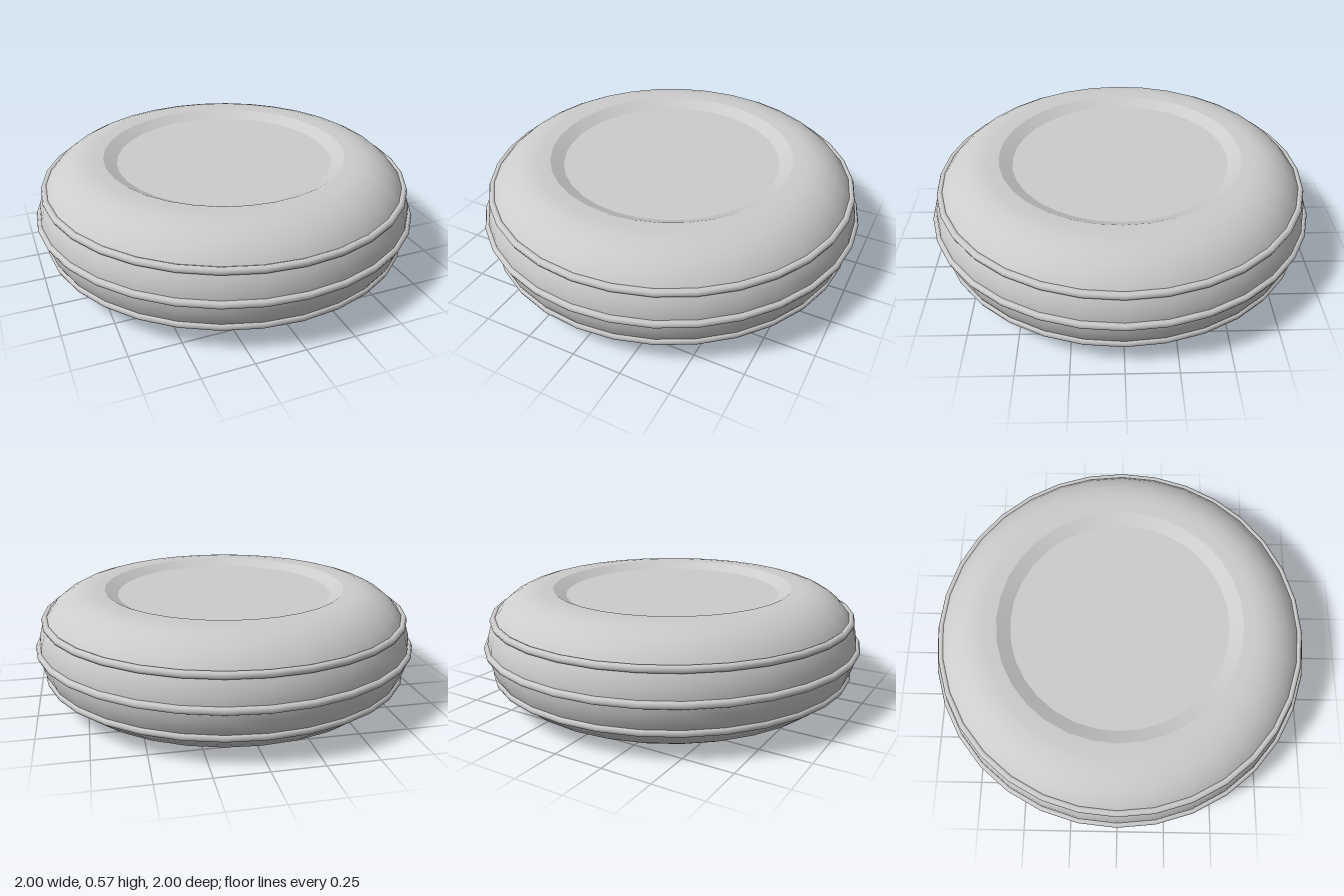
import * as THREE from 'three';

const SIDES = 32;
const MID = 0.283; // half height of the tyre, also its tube radius
const CENTRE = 0.698; // radius of the tube's centre line

export function createModel() {
  const group = new THREE.Group();
  const grey = new THREE.MeshStandardMaterial({ color: 0xcccccc });
  grey.name = 'plain grey';

  const add = (name, geometry) => {
    const mesh = new THREE.Mesh(geometry, grey);
    mesh.name = name;
    group.add(mesh);
    return mesh;
  };
  const lathe = (points) =>
    new THREE.LatheGeometry(points.map(([r, y]) => new THREE.Vector2(r, y)), SIDES);

  // Rounded tyre wall, from the lower rim round to the upper rim
  const wall = [[0.632, 0.003]];
  const steps = 16;
  for (let i = 0; i <= steps; i++) {
    const a = -Math.PI / 2 + (Math.PI * i) / steps;
    wall.push([CENTRE + MID * Math.cos(a), MID + MID * Math.sin(a)]);
  }
  wall.push([0.632, 2 * MID - 0.003]);
  add('tyreWall', lathe(wall));

  // Sloping rims and sunken flat discs on both faces
  const top = 2 * MID;
  add('upperRim', lathe([[0.632, top - 0.003], [0.565, top - 0.037]]));
  add('lowerRim', lathe([[0.565, 0.037], [0.632, 0.003]]));
  add('upperDisc', new THREE.CircleGeometry(0.565, SIDES).rotateX(-Math.PI / 2)).position.y = top - 0.037;
  add('lowerDisc', new THREE.CircleGeometry(0.565, SIDES).rotateX(Math.PI / 2)).position.y = 0.037;

  // Three raised ridges around the tread
  for (const [name, offset] of [['lowerRidge', -0.143], ['middleRidge', 0], ['upperRidge', 0.143]]) {
    const radius = CENTRE + Math.sqrt(MID * MID - offset * offset);
    const ridge = new THREE.TorusGeometry(radius, 0.019, 8, SIDES).rotateX(Math.PI / 2);
    add(name, ridge).position.y = MID + offset;
  }
  return group;
}
